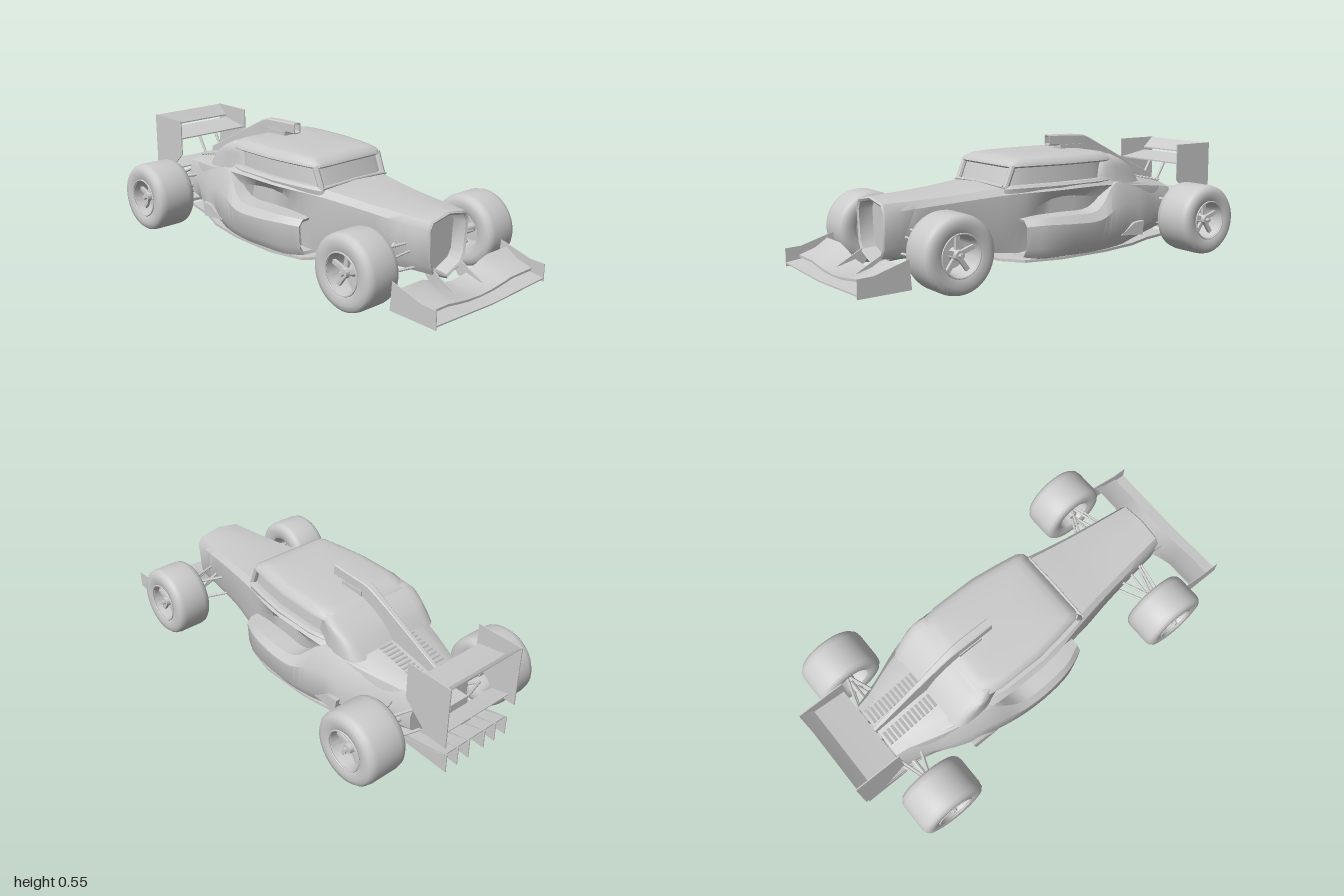
import * as THREE from 'three';
import { toCreasedNormals } from 'three/addons/utils/BufferGeometryUtils.js';

const material = new THREE.MeshStandardMaterial({ color: 0xcccccc, side: THREE.DoubleSide });
const V = (x, y, z) => new THREE.Vector3(x, y, z);

function add(parent, name, geometry, crease = 0.6) {
  const mesh = new THREE.Mesh(toCreasedNormals(geometry, crease), material);
  mesh.name = name;
  parent.add(mesh);
  return mesh;
}

// Skin closed rings of points, cap both ends, and turn the faces outward
function loft(rings) {
  const n = rings[0].length, pos = [], idx = [];
  rings.forEach(r => r.forEach(p => pos.push(p.x, p.y, p.z)));
  for (let i = 0; i < rings.length - 1; i++)
    for (let j = 0; j < n; j++) {
      const a = i * n + j, b = i * n + (j + 1) % n;
      idx.push(a, b, a + n, b, b + n, a + n);
    }
  [0, rings.length - 1].forEach((k, end) => {
    const c = rings[k].reduce((s, p) => s.add(p), V(0, 0, 0)).divideScalar(n);
    const ci = pos.push(c.x, c.y, c.z) / 3 - 1;
    for (let j = 0; j < n; j++) {
      const a = k * n + j, b = k * n + (j + 1) % n;
      idx.push(...(end ? [a, b, ci] : [b, a, ci]));
    }
  });
  const at = i => V(pos[3 * i], pos[3 * i + 1], pos[3 * i + 2]);
  let volume = 0;
  for (let i = 0; i < idx.length; i += 3) volume += at(idx[i]).dot(at(idx[i + 1]).cross(at(idx[i + 2])));
  if (volume < 0) idx.reverse();
  const g = new THREE.BufferGeometry();
  g.setAttribute('position', new THREE.Float32BufferAttribute(pos, 3));
  g.setIndex(idx);
  return g;
}

// Smooth a list of rings along its length
function refine(rings, steps) {
  const curves = rings[0].map((_, j) => new THREE.CatmullRomCurve3(rings.map(r => r[j]), false, 'centripetal'));
  const count = (rings.length - 1) * steps;
  return Array.from({ length: count + 1 }, (_, i) => curves.map(c => c.getPoint(i / count)));
}

// Shrink a ring about its centre and shift it along z
function inset(ring, k, dz) {
  const c = ring.reduce((s, p) => s.add(p), V(0, 0, 0)).divideScalar(ring.length);
  return ring.map(p => p.clone().sub(c).multiplyScalar(k).add(c).add(V(0, 0, dz)));
}

// Half section from top centre to bottom centre, mirrored to a full ring
const fullRing = (z, half) => [
  ...half.map(([x, y]) => V(x, y, z)),
  ...half.slice(1, -1).reverse().map(([x, y]) => V(-x, y, z))];

// Rod between two points
function rod(parent, name, a, b, r = 0.006) {
  const d = b.clone().sub(a);
  const m = add(parent, name, new THREE.CylinderGeometry(r, r, d.length(), 8));
  m.position.copy(a).addScaledVector(d, 0.5);
  m.quaternion.setFromUnitVectors(V(0, 1, 0), d.normalize());
}

// Upright plate from a (z, y) outline
function plate(parent, name, pts, x, t = 0.004) {
  const shape = new THREE.Shape(pts.map(p => new THREE.Vector2(...p)));
  const g = new THREE.ExtrudeGeometry(shape, { depth: t, bevelEnabled: false });
  add(parent, name, g.rotateY(-Math.PI / 2).translate(x + t / 2, 0, 0));
}

function box(parent, name, w, h, d, x, y, z, tilt = 0) {
  const m = add(parent, name, new THREE.BoxGeometry(w, h, d));
  m.position.set(x, y, z);
  m.rotation.x = tilt;
}

// Plan outline used by every level of the cabin
const plan = [[0, 1], [.7, 1], [.8, .98], [.86, .9], [.93, .55], [1, .1], [1, -.6], [.95, -.85], [.87, -.95], [.75, -1], [0, -1]];
const cabinRing = ([y, zf, zb, hw]) => {
  const half = plan.map(([u, v]) => V(u * hw, y, (zf + zb) / 2 + v * (zf - zb) / 2));
  return [...half, ...half.slice(1, -1).reverse().map(p => V(-p.x, p.y, p.z))];
};
const cabin = levels => loft(levels.map(cabinRing));

function buildBody(car) {
  const tub = refine([
    fullRing(.765, [[0, .355], [.105, .335], [.124, .3], [.113, .15], [.09, .11], [0, .07]]),
    fullRing(.45, [[0, .362], [.145, .347], [.165, .32], [.16, .17], [.13, .1], [0, .08]]),
    fullRing(.22, [[0, .375], [.18, .364], [.205, .335], [.2, .18], [.18, .08], [0, .055]]),
    fullRing(0, [[0, .375], [.225, .365], [.248, .34], [.215, .3], [.21, .06], [0, .048]]),
    fullRing(-.3, [[0, .375], [.225, .368], [.25, .34], [.23, .28], [.22, .06], [0, .048]]),
    fullRing(-.5, [[0, .36], [.16, .355], [.22, .32], [.24, .22], [.2, .07], [0, .06]]),
    fullRing(-.78, [[0, .3], [.08, .3], [.13, .28], [.15, .2], [.12, .1], [0, .1]])], 5);
  // Recessed nose intake
  add(car, 'tub', loft([inset(tub[0], .84, -.06), inset(tub[0], .88, 0), inset(tub[0], .95, .006), ...tub]));

  for (const s of [1, -1]) {
    const pod = refine([
      [.17, [[.17, .23], [.245, .227], [.268, .2], [.262, .1], [.24, .065], [.17, .06]]],
      [.08, [[.17, .236], [.285, .235], [.305, .205], [.3, .1], [.27, .052], [.17, .05]]],
      [-.05, [[.17, .24], [.3, .235], [.325, .2], [.318, .1], [.28, .048], [.17, .048]]],
      [-.2, [[.17, .25], [.295, .24], [.322, .2], [.316, .1], [.28, .048], [.17, .048]]],
      [-.34, [[.17, .36], [.25, .345], [.3, .25], [.298, .12], [.255, .05], [.17, .05]]],
      [-.5, [[.14, .356], [.21, .33], [.262, .24], [.26, .13], [.2, .065], [.14, .06]]],
      [-.64, [[.12, .325], [.165, .305], [.21, .22], [.2, .13], [.16, .085], [.12, .08]]],
      [-.78, [[.1, .295], [.14, .28], [.17, .2], [.165, .14], [.13, .11], [.1, .11]]],
    ].map(([z, pts]) => pts.map(([x, y]) => V(s * x, y, z))), 4);
    add(car, 'sidePod', loft([inset(pod[0], .75, -.06), inset(pod[0], .84, -.005), ...pod]));
    // Side outlet towards the rear of the pod
    plate(car, 'podOutlet', [[-.34, .11], [-.47, .1], [-.48, .165], [-.42, .16]], s * .287, .02);
  }

  const floor = new THREE.Shape([[.15, .24], [.25, .17], [.29, 0], [.285, -.25], [.25, -.45], [.19, -.6], [.15, -.78]]
    .flatMap(p => [p]).concat([[-.15, -.78], [-.19, -.6], [-.25, -.45], [-.285, -.25], [-.29, 0], [-.25, .17], [-.15, .24]])
    .map(p => new THREE.Vector2(...p)));
  add(car, 'floor', new THREE.ExtrudeGeometry(floor, { depth: .012, bevelEnabled: false }).rotateX(Math.PI / 2).translate(0, .055, 0));
  box(car, 'scuttleSeam', .39, .008, .012, 0, .364, .235);
}

function buildCabin(car) {
  add(car, 'windows', cabin([[.34, .235, -.34, .215], [.46, .19, -.34, .208]]));
  add(car, 'windowSill', cabin([[.34, .245, -.36, .24], [.36, .242, -.36, .245], [.372, .235, -.36, .236]]));
  add(car, 'roof', cabin([[.445, .2, -.38, .225], [.452, .207, -.38, .236], [.468, .2, -.365, .232],
    [.484, .165, -.33, .21], [.489, .13, -.3, .185], [.492, .05, -.24, .1]]), 0.9);
  add(car, 'rearQuarter', cabin([[.34, -.24, -.52, .24], [.38, -.255, -.49, .238], [.42, -.27, -.45, .237],
    [.45, -.285, -.4, .235], [.475, -.29, -.35, .215]]), 0.9);
  for (const s of [1, -1]) {
    rod(car, 'frontPillar', V(s * .185, .36, .225), V(s * .187, .455, .187), .014);
    rod(car, 'windscreenFrame', V(s * .18, .368, .236), V(0, .375, .238), .007);
  }

  // Roof intake flowing back into the spine fin: z, top, bottom, half width
  const spine = [[-.14, .558, .508, .019], [-.22, .556, .505, .02], [-.3, .553, .48, .02], [-.35, .547, .46, .018],
    [-.44, .505, .35, .014], [-.58, .435, .33, .011], [-.7, .375, .29, .01], [-.79, .33, .28, .008]]
    .map(([z, t, b, w]) => {
      const c = .25 * w;
      return [V(w - c, t, z), V(w, t - c, z), V(w, b + c, z), V(w - c, b, z), V(c - w, b, z), V(-w, b + c, z), V(-w, t - c, z), V(c - w, t, z)];
    });
  add(car, 'roofIntakeAndSpine', loft([inset(spine[0], .7, -.04), inset(spine[0], .8, 0), ...refine(spine, 3)]));
  box(car, 'intakeFoot', .05, .03, .12, 0, .495, -.26);

  // Louvres on the engine deck
  for (const s of [1, -1])
    for (let i = 0; i < 12; i++) {
      const z = -.52 - i * .022;
      box(car, 'louvre', .065, .008, .014, s * .062, .358 - i * .0045, z, .35);
    }
}

function buildWheel(car, side, z, x, w, name) {
  const wheel = new THREE.Group();
  wheel.name = name;
  const h = w / 2;
  const outer = [[.09, -.93], [.1, -.97], [.125, -1], [.146, -.95], [.157, -.82], [.161, -.6]];
  const profile = [...outer, ...outer.map(([r, t]) => [r, -t]).reverse(), [.084, .9], [.078, .5], [.078, -.5], [.084, -.9], [.09, -.93]]
    .map(([r, t]) => new THREE.Vector2(r, t * h));
  const lay = g => g.rotateZ(-Math.PI / 2);
  add(wheel, 'tyreAndRim', lay(new THREE.LatheGeometry(profile, 48)), 0.8);
  const lip = add(wheel, 'rimLip', new THREE.TorusGeometry(.087, .004, 6, 40).rotateY(Math.PI / 2));
  lip.position.x = h * .95;
  add(wheel, 'hub', lay(new THREE.CylinderGeometry(.02, .026, .05, 20).translate(0, h * .55, 0)));
  add(wheel, 'wheelNut', lay(new THREE.CylinderGeometry(.01, .01, .03, 6).translate(0, h * .55 + .025, 0)));
  add(wheel, 'brakeDisc', lay(new THREE.CylinderGeometry(.062, .062, .015, 32)));
  add(wheel, 'axle', lay(new THREE.CylinderGeometry(.02, .02, h, 16).translate(0, -h * .4, 0)));
  for (let i = 0; i < 5; i++)
    add(wheel, 'spoke', new THREE.BoxGeometry(.014, .066, .018).translate(h * .55, .047, 0).rotateX(i * Math.PI * .4));
  wheel.position.set(side * x, .165, z);
  if (side < 0) wheel.rotation.y = Math.PI;
  car.add(wheel);
}

function buildSuspension(car, s) {
  // Front arms
  const up = V(s * .31, .215, .61), low = V(s * .31, .115, .62);
  [[.13, .225, .53], [.11, .225, .66]].forEach(p => rod(car, 'frontUpperArm', V(s * p[0], p[1], p[2]), up));
  [[.12, .135, .52], [.09, .125, .69]].forEach(p => rod(car, 'frontLowerArm', V(s * p[0], p[1], p[2]), low));
  rod(car, 'frontPushrod', V(s * .12, .22, .6), low);
  rod(car, 'steeringRod', V(s * .1, .2, .68), V(s * .31, .17, .65), .005);
  // Rear arms
  const ru = V(s * .31, .225, -.73), rl = V(s * .31, .11, -.73);
  [-.66, -.79].forEach(z => {
    rod(car, 'rearUpperArm', V(s * .12, .24, z), ru, .007);
    rod(car, 'rearLowerArm', V(s * .12, .12, z), rl, .007);
  });
  rod(car, 'driveShaft', V(s * .1, .17, -.73), V(s * .32, .167, -.73), .011);
}

function buildFrontWing(car) {
  // Sections across the span: x, trailing edge y and z, leading edge y
  const half = [[.335, .135, .81, .075], [.2, .135, .81, .075], [.15, .118, .807, .067], [.08, .083, .8, .058], [0, .07, .795, .053]];
  const span = [...half, ...half.slice(0, -1).reverse().map(([x, ...r]) => [-x, ...r])];
  add(car, 'frontWingFlap', loft(span.map(([x, yt, zt, yl]) =>
    [V(x, yt, zt), V(x, (yt + yl) / 2 - .006, .865), V(x, yl, .94), V(x, yl - .01, .94), V(x, (yt + yl) / 2 - .017, .865), V(x, yt - .005, zt)])));
  add(car, 'frontWingMainPlane', loft([.335, .15, 0, -.15, -.335].map(x => {
    const y = .032 + Math.abs(x) * .035;
    return [V(x, y + .018, .9), V(x, y + .006, 1), V(x, y, 1), V(x, y + .006, .9)];
  })));
  for (const s of [1, -1]) {
    plate(car, 'frontWingEndPlate', [[1, .032], [1, .11], [.93, .113], [.78, .157], [.77, .035]], s * .338);
    plate(car, 'nosePylon', [[.9, .055], [.76, .06], [.7, .14], [.76, .13]], s * .085, .006);
  }
}

function buildRear(car) {
  for (const s of [1, -1]) {
    plate(car, 'rearWingEndPlate', [[-.78, .49], [-1, .49], [-1, .21], [-.9, .21], [-.78, .32]], s * .2, .005);
    rod(car, 'rearWingStrut', V(s * .05, .27, -.77), V(s * .05, .4, -.85), .007);
    [.045, .11, .175].forEach(x =>
      plate(car, 'diffuserFin', [[-.76, .07], [-.99, .065], [-.99, .155], [-.88, .13], [-.76, .11]], s * x));
  }
  // Wing elements: leading z y, trailing z y
  [['rearMainPlane', -.79, .4, -.94, .425], ['rearFlap', -.94, .44, -.995, .488], ['beamWing', -.88, .225, -.97, .25]]
    .forEach(([name, z0, y0, z1, y1]) => add(car, name, loft([.2, -.2].map(x =>
      [V(x, y0, z0), V(x, (y0 + y1) / 2 - .001, (z0 + z1) / 2), V(x, y1, z1), V(x, y1 - .004, z1), V(x, (y0 + y1) / 2 - .014, (z0 + z1) / 2), V(x, y0 - .006, z0)]))));
  add(car, 'diffuser', loft([.18, -.18].map(x =>
    [V(x, .09, -.74), V(x, .115, -.87), V(x, .15, -.98), V(x, .145, -.98), V(x, .108, -.87), V(x, .08, -.74)])));
  box(car, 'gearbox', .1, .12, .12, 0, .2, -.82);
  box(car, 'rearLight', .05, .04, .05, 0, .2, -.9);
}

export function createModel() {
  const car = new THREE.Group();
  car.name = 'racingCar';
  buildBody(car);
  buildCabin(car);
  for (const s of [1, -1]) {
    buildWheel(car, s, .61, .362, .175, 'frontWheel');
    buildWheel(car, s, -.725, .378, .2, 'rearWheel');
    buildSuspension(car, s);
  }
  buildFrontWing(car);
  buildRear(car);
  return car;
}
